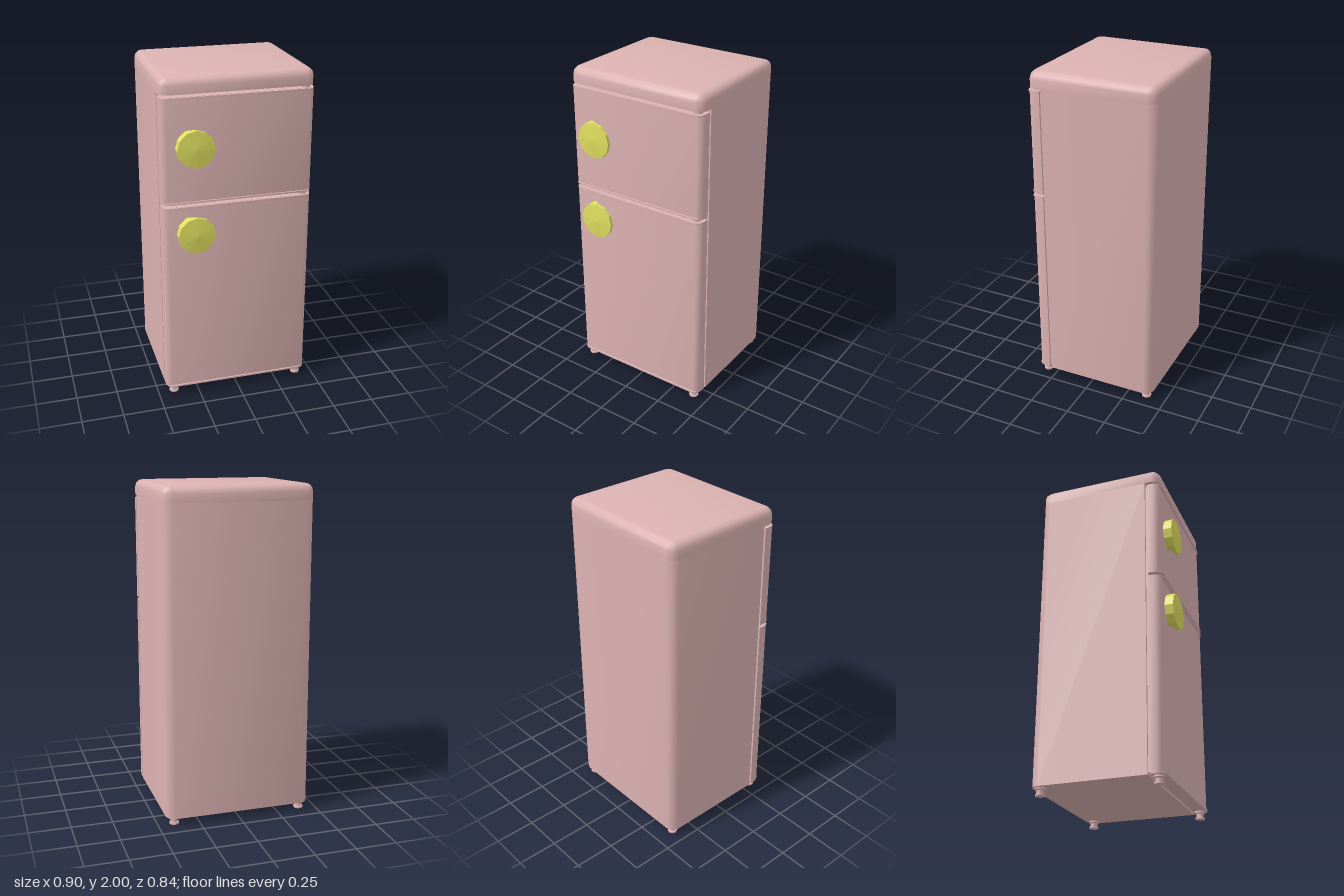
import * as THREE from 'three';
import { toCreasedNormals } from 'three/addons/utils/BufferGeometryUtils.js';

const pink = new THREE.MeshStandardMaterial({ color: 0xdcb2b2 });
const yellow = new THREE.MeshStandardMaterial({ color: 0xe0e060, flatShading: true });

// Rectangle outline with separate back and front corner radii, counterclockwise from above
function footprint(halfWidth, back, front, rBack, rFront) {
  const corners = [
    [halfWidth, front, rFront, -90], [halfWidth, back, rBack, 0],
    [-halfWidth, back, rBack, 90], [-halfWidth, front, rFront, 180],
  ];
  const points = [];
  for (const [x, z, r, start] of corners) {
    const steps = r > 0 ? 2 : 0;
    for (let i = 0; i <= steps; i++) {
      const a = THREE.MathUtils.degToRad(start + i * 45);
      points.push(steps
        ? [x - Math.sign(x) * r + r * Math.cos(a), (z === back ? z + r : z - r) - r * Math.sin(a)]
        : [x, z]);
    }
  }
  return points;
}

// Closed skin over a stack of equal-length rings of [x, y, z] points
function loft(rings) {
  const n = rings[0].length, index = [];
  for (let k = 0; k < rings.length - 1; k++) {
    for (let i = 0; i < n; i++) {
      const a = k * n + i, b = k * n + (i + 1) % n;
      index.push(a, b, b + n, a, b + n, a + n);
    }
  }
  const top = (rings.length - 1) * n;
  for (let i = 1; i < n - 1; i++) index.push(0, i + 1, i, top, top + i, top + i + 1);
  const geometry = new THREE.BufferGeometry();
  geometry.setAttribute('position', new THREE.Float32BufferAttribute(rings.flat(2), 3));
  geometry.setIndex(index);
  return toCreasedNormals(geometry, 0.9);
}

const ringAt = (outline, y) => outline.map(([x, z]) => [x, y, z]);
const prism = (outline, y0, y1) => loft([ringAt(outline, y0), ringAt(outline, y1)]);

export function createModel() {
  const model = new THREE.Group();
  const add = (name, geometry, material = pink, parent = model) => {
    const mesh = new THREE.Mesh(geometry, material);
    mesh.name = name;
    parent.add(mesh);
    return mesh;
  };

  // Cabinet with rounded rear corners, and the overhanging rounded top
  add('cabinet', prism(footprint(0.45, -0.42, 0.27, 0.05, 0), 0.045, 1.905));
  const r = 0.045;
  const capRings = [ringAt(footprint(0.45, -0.42, 0.36, 0.05, 0.05), 1.905)];
  for (let i = 0; i <= 3; i++) {
    const a = (i / 3) * Math.PI / 2, inset = r * (1 - Math.cos(a));
    capRings.push(ringAt(
      footprint(0.45 - inset, -0.42 + inset, 0.36 - inset, 0.05 - inset, 0.05 - inset),
      2 - r + r * Math.sin(a)));
  }
  add('topCap', loft(capRings));
  add('doorSeal', prism(footprint(0.438, 0.265, 0.285, 0, 0), 0.06, 1.88));

  // Doors, each with a thin projecting lip along its top and bottom edge
  const doorOutline = footprint(0.45, 0.283, 0.357, 0, 0.035);
  const lipOutline = footprint(0.445, 0.3, 0.366, 0, 0.035);
  const doors = [['lowerDoor', 0.047, 1.248], ['upperDoor', 1.265, 1.89]];
  for (const [name, y0, y1] of doors) {
    const door = new THREE.Group();
    door.name = name;
    model.add(door);
    add('doorPanel', prism(doorOutline, y0, y1), pink, door);
    add('bottomLip', prism(lipOutline, y0 + 0.001, y0 + 0.011), pink, door);
    add('topLip', prism(lipOutline, y1 - 0.012, y1 - 0.001), pink, door);
  }

  // Hinge pins above each door
  for (const [y0, y1] of [[1.24, 1.27], [1.885, 1.908]]) {
    add('hingePin', new THREE.CylinderGeometry(0.028, 0.028, y1 - y0, 12))
      .position.set(0.4, (y0 + y1) / 2, 0.32);
  }

  // Handles: a shallow-domed disc on a half-round grip cut at a slant
  const R = 0.11;
  const disc = new THREE.LatheGeometry(
    [[0, 0.391], [R, 0.391], [R, 0.409], [0, 0.419]].map(([x, y]) => new THREE.Vector2(x, y)), 12);
  disc.rotateX(Math.PI / 2);
  const nearRing = [], farRing = [];
  for (let i = 0; i <= 6; i++) {
    const a = Math.PI / 2 + i * Math.PI / 6;
    const x = R * Math.cos(a), y = R * Math.sin(a);
    const end = i === 0 || i === 6;
    nearRing.push(end ? [-0.042, Math.sign(y) * 0.099, 0.352] : [x, y, 0.352]);
    farRing.push([x, y, 0.392]);
  }
  const grip = loft([nearRing, farRing]);
  for (const y of [1.08, 1.6]) {
    const handle = new THREE.Group();
    handle.name = 'handle';
    handle.position.set(-0.258, y, 0);
    model.add(handle);
    add('handleDisc', disc, yellow, handle);
    add('handleGrip', grip, yellow, handle);
  }

  // Four waisted feet
  const footProfile = [[0, 0], [0.029, 0], [0.029, 0.01], [0.022, 0.012], [0.022, 0.032],
    [0.033, 0.036], [0.033, 0.047], [0, 0.047]].map(([x, y]) => new THREE.Vector2(x, y));
  const foot = toCreasedNormals(new THREE.LatheGeometry(footProfile, 12), 0.7);
  for (const x of [-0.4, 0.4]) {
    for (const z of [-0.373, 0.32]) add('foot', foot).position.set(x, 0, z);
  }
  return model;
}
